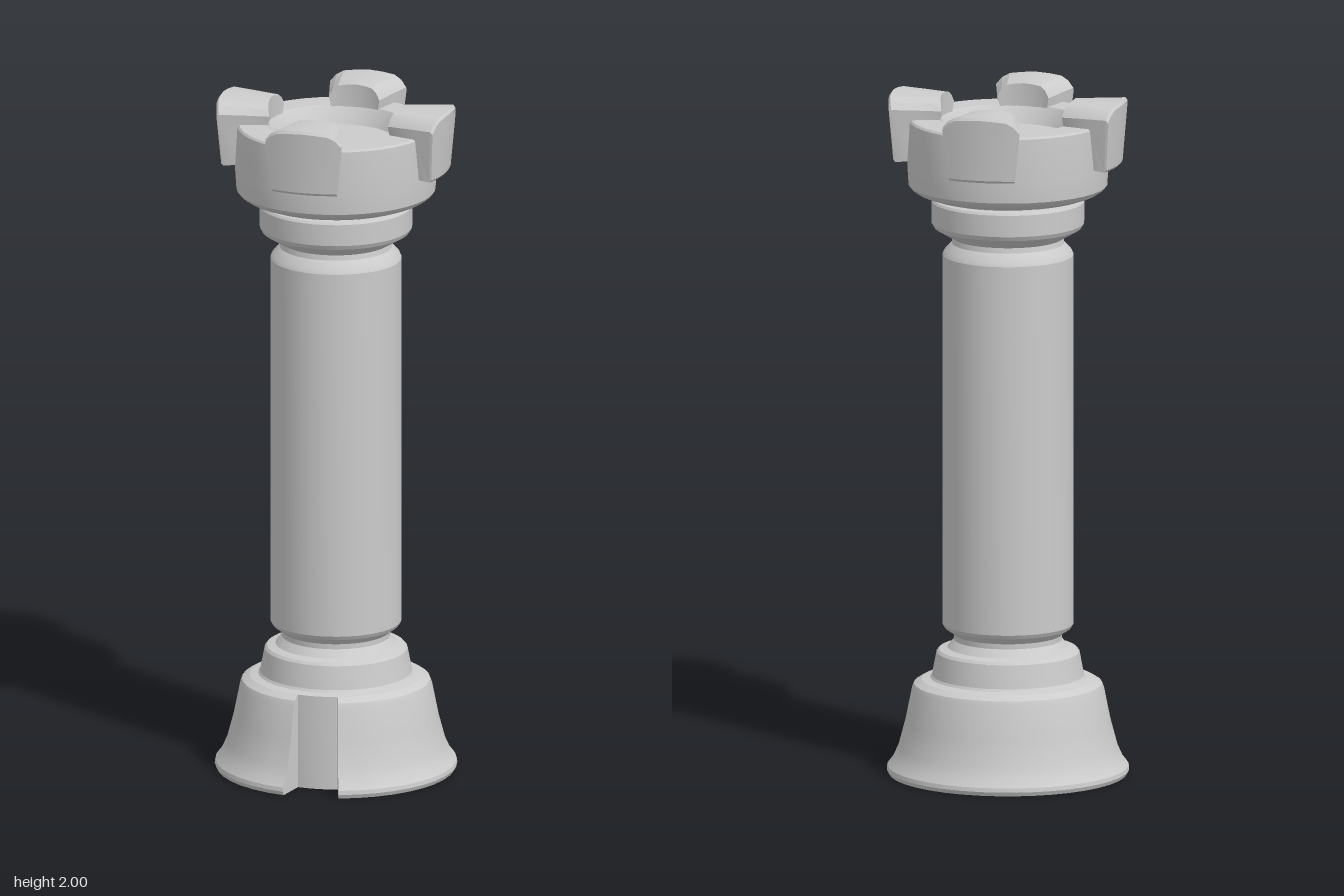
import * as THREE from 'three';
import { toCreasedNormals } from 'three/addons/utils/BufferGeometryUtils.js';

const material = new THREE.MeshStandardMaterial({ color: 0xcccccc });
const doubleSided = new THREE.MeshStandardMaterial({ color: 0xcccccc, side: THREE.DoubleSide });
const rad = THREE.MathUtils.degToRad;
const SEGMENTS = 40;

function addMesh(parent, name, geometry, mat = material) {
  const mesh = new THREE.Mesh(geometry, mat);
  mesh.name = name;
  parent.add(mesh);
  return mesh;
}

// Turned part from [radius, height] pairs, with crisp profile edges
function turned(profile, start = 0, length = Math.PI * 2) {
  const points = profile.map(([r, y]) => new THREE.Vector2(r, y));
  const count = Math.round(SEGMENTS * length / (Math.PI * 2));
  return toCreasedNormals(new THREE.LatheGeometry(points, count, start, length), rad(24));
}

// Battlement block: wedge lofted outwards, arched on top, with an outer lip
function merlonGeometry() {
  const stations = [ // radius, radius at bottom, bottom height, half angle
    { r: 0.195, rb: 0.197, bottom: 1.915, half: 23, drop: 0.005 },
    { r: 0.27, rb: 0.265, bottom: 1.81, half: 20.8, drop: 0.002 },
    { r: 0.34, rb: 0.326, bottom: 1.805, half: 19.8, drop: 0 },
    { r: 0.346, rb: 0.332, bottom: 1.812, half: 19.4, drop: 0.008 },
  ];
  const us = [-1, -0.85, -0.66, -0.33, 0, 0.33, 0.66, 0.85, 1];
  const arch = [1.962, 1.982, 1.994, 1.998, 2, 1.998, 1.994, 1.982, 1.962];
  const n = us.length, ring = 2 * n;
  const positions = [], index = [];
  const point = (r, y, a) => positions.push(r * Math.sin(a), y, r * Math.cos(a));
  for (const s of stations) {
    us.forEach(u => point(s.rb, s.bottom, rad(s.half * u * 0.88)));
    for (let i = n - 1; i >= 0; i--) point(s.r, arch[i] - s.drop, rad(s.half * us[i]));
  }
  const quad = (a, b, c, d) => index.push(a, b, c, a, c, d);
  for (let s = 0; s < stations.length - 1; s++) {
    for (let i = 0; i < ring; i++) {
      const j = (i + 1) % ring, o = s * ring;
      quad(o + i, o + j, o + ring + j, o + ring + i);
    }
  }
  // Inner and outer faces
  const last = (stations.length - 1) * ring;
  for (let i = 0; i < n - 1; i++) {
    const t = ring - 1 - i;
    quad(last + i, last + i + 1, last + t - 1, last + t);
    quad(i, t, t - 1, i + 1);
  }
  const g = new THREE.BufferGeometry();
  g.setAttribute('position', new THREE.Float32BufferAttribute(positions, 3));
  g.setIndex(index);
  return toCreasedNormals(g, rad(24));
}

export function createModel() {
  const model = new THREE.Group();
  model.name = 'rookTower';

  // Flared base with a wedge-shaped notch at the front
  const base = new THREE.Group();
  base.name = 'base';
  model.add(base);
  const skirt = [
    [0.25, 0], [0.345, 0], [0.351, 0.012], [0.349, 0.024], [0.332, 0.046], [0.317, 0.08],
    [0.297, 0.155], [0.278, 0.25], [0.272, 0.265], [0.25, 0.278],
  ];
  const notchStart = rad(-9.2), notchEnd = rad(18);
  addMesh(base, 'baseSkirt', turned(skirt, notchEnd, Math.PI * 2 - (notchEnd - notchStart)));
  const wall = new THREE.ShapeGeometry(new THREE.Shape(skirt.map(([r, y]) => new THREE.Vector2(r, y))));
  for (const angle of [notchStart, notchEnd]) {
    addMesh(base, 'notchWall', wall, doubleSided).rotation.y = angle - Math.PI / 2;
  }
  addMesh(base, 'baseCore', turned([
    [0, 0], [0.25, 0], [0.25, 0.278], [0.225, 0.283], [0.22, 0.29], [0.207, 0.358],
    [0.2, 0.366], [0.175, 0.372], [0.157, 0.395], [0.157, 0.41],
  ]));

  // Column shaft with bevelled ends
  addMesh(model, 'shaft', turned([
    [0.157, 0.41], [0.165, 0.418], [0.183, 0.43], [0.19, 0.442],
    [0.19, 1.53], [0.184, 1.543], [0.163, 1.565], [0.16, 1.58],
  ]));

  // Collar under the crown
  addMesh(model, 'collar', turned([
    [0.16, 1.58], [0.18, 1.592], [0.214, 1.612], [0.221, 1.625], [0.221, 1.688],
    [0.216, 1.695], [0.2, 1.698], [0.2, 1.705], [0.235, 1.707],
  ]));

  // Crown with a recessed floor
  addMesh(model, 'crown', turned([
    [0.235, 1.707], [0.265, 1.718], [0.28, 1.728], [0.288, 1.738], [0.292, 1.8], [0.286, 1.925],
    [0.281, 1.931], [0.2, 1.931], [0.195, 1.925], [0.173, 1.88], [0, 1.88],
  ]));

  // Four battlements
  const merlon = merlonGeometry();
  for (let i = 0; i < 4; i++) {
    addMesh(model, 'battlement', merlon).rotation.y = i * Math.PI / 2;
  }
  return model;
}
